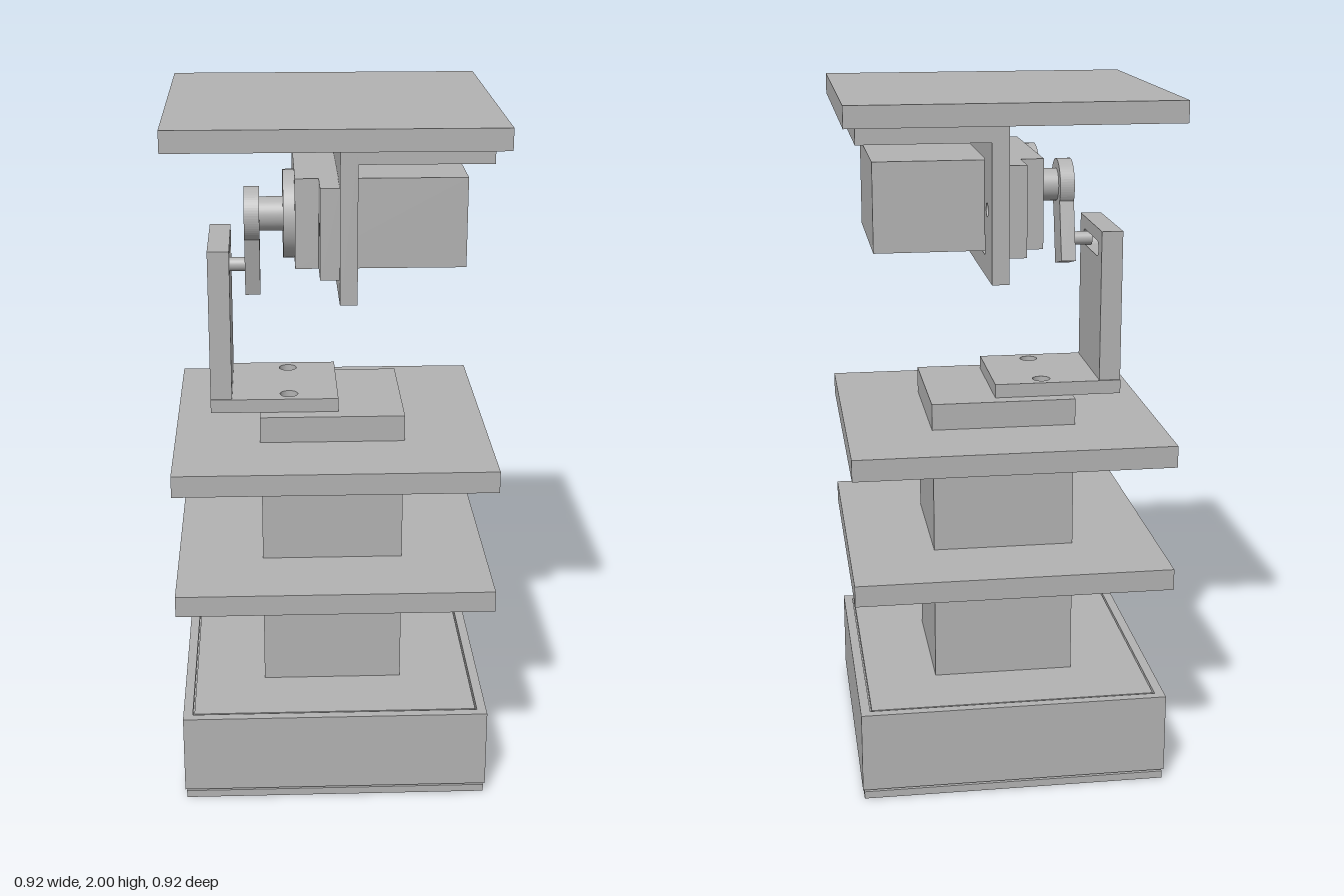
import * as THREE from 'three';

const grey = new THREE.MeshStandardMaterial({ color: 0xb2b2b2 });
grey.name = 'grey';

function add(parent, name, geometry) {
  const mesh = new THREE.Mesh(geometry, grey);
  mesh.name = name;
  parent.add(mesh);
  return mesh;
}

// Box from its lowest and highest corner
function box(parent, name, [x0, y0, z0], [x1, y1, z1]) {
  const mesh = add(parent, name, new THREE.BoxGeometry(x1 - x0, y1 - y0, z1 - z0));
  mesh.position.set((x0 + x1) / 2, (y0 + y1) / 2, (z0 + z1) / 2);
  return mesh;
}

// Cylinder lying along x
function rod(parent, name, x0, x1, y, z, r) {
  const mesh = add(parent, name, new THREE.CylinderGeometry(r, r, x1 - x0, 40));
  mesh.rotation.z = Math.PI / 2;
  mesh.position.set((x0 + x1) / 2, y, z);
  return mesh;
}

function rect(Type, a0, b0, a1, b1) {
  return new Type([[a0, b0], [a1, b0], [a1, b1], [a0, b1]].map(p => new THREE.Vector2(...p)));
}

const hole = (a, b, r) => new THREE.Path().absarc(a, b, r, 0, Math.PI * 2, true);

const extrude = (shape, depth) =>
  new THREE.ExtrudeGeometry(shape, { depth, bevelEnabled: false, curveSegments: 24 });

// Plate thickened along x; its shape is drawn in (-z, y)
function uprightPlate(parent, name, shape, x0, x1) {
  const mesh = add(parent, name, extrude(shape, x1 - x0));
  mesh.rotation.y = Math.PI / 2;
  mesh.position.x = x0;
  return mesh;
}

// Plate thickened along y; its shape is drawn in (x, -z)
function flatPlate(parent, name, shape, y0, y1) {
  const mesh = add(parent, name, extrude(shape, y1 - y0));
  mesh.rotation.x = -Math.PI / 2;
  mesh.position.y = y0;
  return mesh;
}

function addBase(parent) {
  const g = new THREE.Group();
  g.name = 'base';
  parent.add(g);
  box(g, 'bottomCover', [-0.443, 0, -0.443], [0.443, 0.022, 0.443]);
  box(g, 'coverGap', [-0.425, 0.022, -0.425], [0.425, 0.03, 0.425]);
  box(g, 'baseBody', [-0.4475, 0.03, -0.4475], [0.4475, 0.25, 0.4475]);
  // rim and inset lid, separated by a narrow seam
  const rim = rect(THREE.Shape, -0.4475, -0.4475, 0.4475, 0.4475);
  rim.holes.push(rect(THREE.Path, -0.42, -0.42, 0.42, 0.42));
  flatPlate(g, 'baseRim', rim, 0.25, 0.267);
  box(g, 'baseLid', [-0.415, 0.25, -0.415], [0.415, 0.267, 0.415]);
}

function addColumn(parent) {
  const g = new THREE.Group();
  g.name = 'column';
  parent.add(g);
  const r = 0.207, t = 0.03, y0 = 0.267, y1 = 1.0;
  for (const s of [-1, 1]) {
    const a = s * r, b = s * (r - t);
    box(g, 'sideWall', [-r, y0, Math.min(a, b)], [r, y1, Math.max(a, b)]);
  }
  box(g, 'rightWall', [-r, y0, -r + t], [-r + t, y1, r - t]);
  // wall with a cable window under the upper deck
  const wall = rect(THREE.Shape, -r + t, y0, r - t, y1);
  wall.holes.push(rect(THREE.Path, -0.087, 0.865, 0.087, 0.98));
  uprightPlate(g, 'windowWall', wall, r - t, r);
  box(g, 'columnCap', [-0.21, 1.04, -0.21], [0.21, 1.12, 0.21]);
}

function addLowerBracket(parent) {
  const g = new THREE.Group();
  g.name = 'lowerBracket';
  parent.add(g);
  const foot = rect(THREE.Shape, -0.352, -0.166, 0.019, 0.166);
  for (const z of [-0.118, 0.118]) foot.holes.push(hole(-0.124, z, 0.026));
  flatPlate(g, 'bracketFoot', foot, 1.12, 1.16);

  // upright with a rounded slot for the crank pin
  const upright = rect(THREE.Shape, -0.16, 1.16, 0.16, 1.6);
  const slot = new THREE.Path();
  slot.absarc(0.09, 1.54, 0.023, Math.PI / 2, -Math.PI / 2, true);
  slot.absarc(-0.09, 1.54, 0.023, -Math.PI / 2, -Math.PI * 1.5, true);
  slot.closePath();
  upright.holes.push(slot);
  uprightPlate(g, 'bracketUpright', upright, -0.352, -0.29);
}

function addUpperBracket(parent) {
  const g = new THREE.Group();
  g.name = 'upperBracket';
  parent.add(g);
  const upright = rect(THREE.Shape, -0.376, 1.505, 0.396, 1.94);
  upright.holes.push(rect(THREE.Path, -0.245, 1.562, 0.25, 1.828));
  for (const s of [-0.293, 0.299]) upright.holes.push(hole(s, 1.695, 0.019));
  uprightPlate(g, 'motorPlate', upright, 0.013, 0.061);

  const flange = rect(THREE.Shape, 0.061, -0.376, 0.424, 0.396);
  for (const s of [-0.285, 0.295]) flange.holes.push(hole(0.305, s, 0.045));
  flatPlate(g, 'mountingFlange', flange, 1.89, 1.94);
}

function addMotor(parent) {
  const g = new THREE.Group();
  g.name = 'motor';
  parent.add(g);
  const y = 1.697, z = 0.11;
  box(g, 'motorBody', [-0.105, 1.571, -0.244], [0.371, 1.824, 0.24]);
  // mounting ears with screw holes
  const sides = [[-0.36, -0.24], [0.244, 0.364]];
  sides.forEach(([a, b], i) => {
    const ear = rect(THREE.Shape, a, 1.571, b, 1.824);
    ear.holes.push(hole(i ? 0.299 : -0.293, 1.695, 0.019));
    uprightPlate(g, 'motorEar', ear, -0.04, 0.013);
  });
  rod(g, 'gearBoss', -0.137, -0.105, y, z, 0.124);
  rod(g, 'outputShaft', -0.205, -0.137, y, z, 0.048);

  // crank: round hub with a straight arm, swung slightly off vertical
  const R = 0.077, w = 0.054, a = Math.asin(w / R);
  const shape = new THREE.Shape();
  shape.moveTo(-w, -0.232);
  shape.lineTo(w, -0.232);
  shape.absarc(0, 0, R, a - Math.PI / 2, Math.PI * 1.5 - a, false);
  shape.closePath();
  const geometry = extrude(shape, 0.043);
  geometry.rotateZ(0.24);
  const crank = add(g, 'crank', geometry);
  crank.rotation.y = Math.PI / 2;
  crank.position.set(-0.246, y, z);
  rod(g, 'crankPin', -0.305, -0.246, 1.54, 0.07, 0.02);
}

export function createModel() {
  const model = new THREE.Group();
  model.name = 'motorisedPlatform';
  const h = 0.4575;
  addBase(model);
  addColumn(model);
  for (const [name, y0, y1] of [['lowerDeck', 0.61, 0.672], ['upperDeck', 0.98, 1.043], ['topPlate', 1.94, 2]])
    box(model, name, [-h, y0, -h], [h, y1, h]);
  addLowerBracket(model);
  addUpperBracket(model);
  addMotor(model);
  return model;
}
